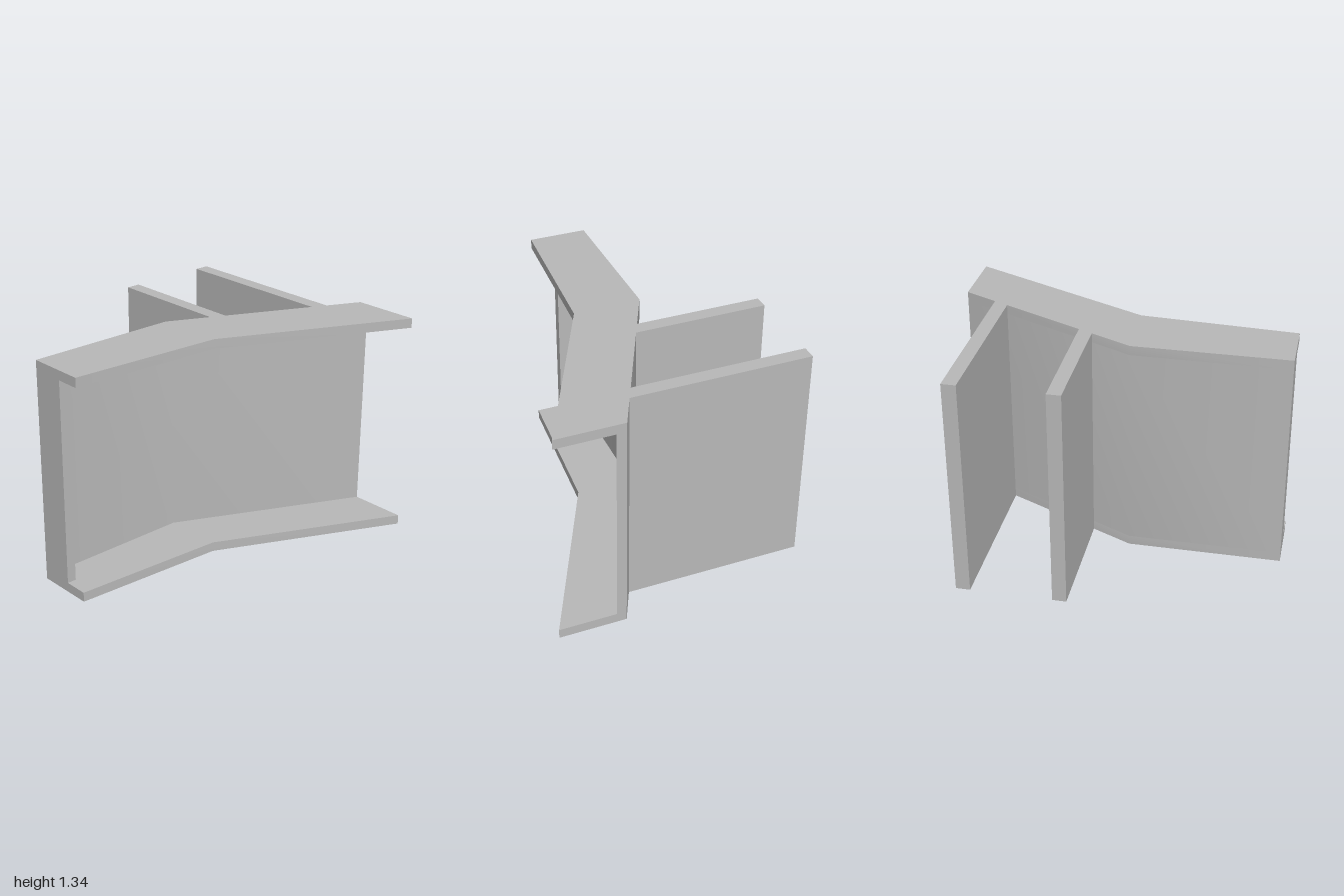
import * as THREE from 'three';
import { toCreasedNormals } from 'three/addons/utils/BufferGeometryUtils.js';

const HEIGHT = 1.335; // full height
const WALL = 0.057;   // flange and web thickness

// Outer line of the web, as [x, z] plan points from front to back
const OUTER = [[-0.14, 1], [-0.14, 0.09], [0.375, -1]];

// x of the angled outer web line at a given z
const webX = (z) => -0.14 + (0.515 * (0.09 - z)) / 1.09;

export function createModel() {
  const group = new THREE.Group();
  const grey = new THREE.MeshStandardMaterial({ color: 0xb8b8b8 });
  grey.name = 'plainGrey';

  // Extrudes a plan outline of [x, z] points upward from y0 to y1
  function addPlan(name, points, y0, y1) {
    const shape = new THREE.Shape(points.map(([x, z]) => new THREE.Vector2(x, -z)));
    const extruded = new THREE.ExtrudeGeometry(shape, { depth: y1 - y0, bevelEnabled: false });
    extruded.rotateX(-Math.PI / 2).translate(0, y0, 0);
    // The shallow bend is smooth, all other edges stay sharp
    const mesh = new THREE.Mesh(toCreasedNormals(extruded, 0.55), grey);
    mesh.name = name;
    group.add(mesh);
  }

  // Bent top and bottom flanges
  const flange = [...OUTER, [0.77, -1], [0.26, 0.08], [0.203, 1]];
  addPlan('bottomFlange', flange, 0, WALL);
  addPlan('topFlange', flange, HEIGHT - WALL, HEIGHT);

  // Bent web with a return lip at the front
  const web = [
    ...OUTER,
    [0.375 + WALL, -1], [-0.14 + WALL, 0.09], [-0.14 + WALL, 0.945],
    [0.06, 0.945], [0.06, 1],
  ];
  addPlan('webWithLip', web, WALL, HEIGHT - WALL);

  // Two full-height fins, cut to meet the angled web
  [['rearFin', -0.805, -0.72], ['middleFin', -0.235, -0.152]].forEach(([name, back, front]) => {
    addPlan(name, [[-0.77, front], [webX(front), front], [webX(back), back], [-0.77, back]], 0, HEIGHT);
  });

  return group;
}
